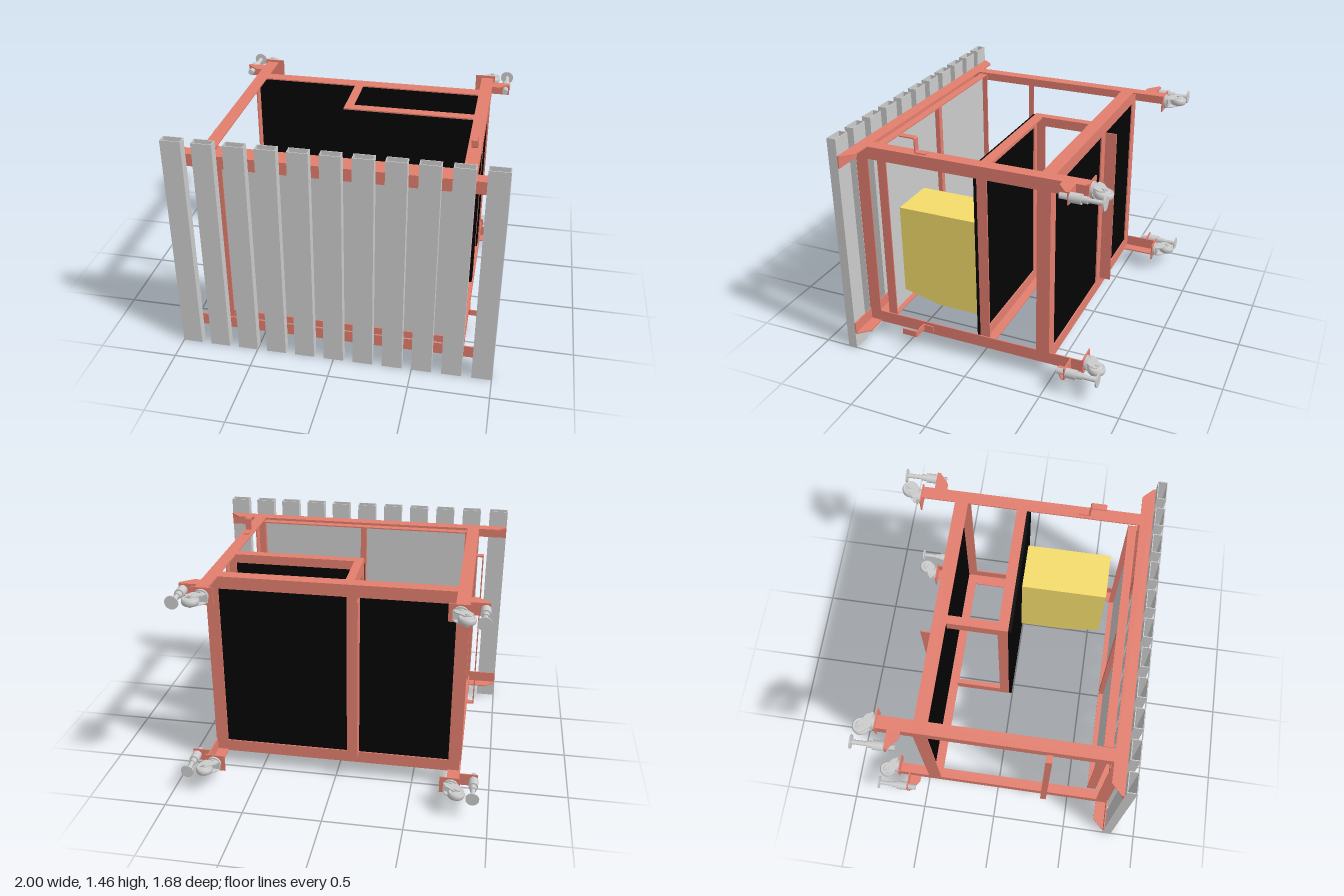
import * as THREE from 'three';

const mat = (color) => new THREE.MeshStandardMaterial({ color });
const red = mat(0xe27e6e), black = mat(0x030303), yellow = mat(0xf4dc6b), grey = mat(0xcccccc);
const T = 0.008; // thickness of the angle iron
const CLEAR = [0.19, 1.275], INSIDE = [0.119, 1.346];

function add(parent, name, geometry, material, x = 0, y = 0, z = 0) {
  const m = new THREE.Mesh(geometry, material);
  m.name = name;
  m.position.set(x, y, z);
  parent.add(m);
  return m;
}

// Box given by its limits on each axis
function bar(parent, name, [x0, x1], [y0, y1], [z0, z1], material = red) {
  return add(parent, name, new THREE.BoxGeometry(Math.abs(x1 - x0), Math.abs(y1 - y0), Math.abs(z1 - z0)), material,
    (x0 + x1) / 2, (y0 + y1) / 2, (z0 + z1) / 2);
}

// Angle iron along one axis; a and b run from the corner to each flange's edge on the other two axes
function angle(parent, name, axis, span, a, b) {
  const thin = ([c, e]) => [c, c + Math.sign(e - c) * T];
  for (const [p, q] of [[a, thin(b)], [thin(a), b]]) {
    const limits = [p, q];
    limits.splice(axis, 0, span);
    bar(parent, name, ...limits);
  }
}
const X = 0, Y = 1, Z = 2;

// Outline in x and z, extruded upward from y0 to y1
function slab(parent, name, pts, y0, y1, material = red, hole) {
  const shape = new THREE.Shape(pts.map(([x, z]) => new THREE.Vector2(x, -z)));
  if (hole) shape.holes.push(new THREE.Path(hole.map(([x, z]) => new THREE.Vector2(x, -z))));
  const g = new THREE.ExtrudeGeometry(shape, { depth: y1 - y0, bevelEnabled: false });
  g.rotateX(-Math.PI / 2);
  return add(parent, name, g, material, 0, y0, 0);
}

// Cylinder lying along z between z0 and z1
function rodZ(parent, name, r, x, y, z0, z1, sides = 20) {
  const g = new THREE.CylinderGeometry(r, r, Math.abs(z1 - z0), sides);
  g.rotateX(Math.PI / 2);
  return add(parent, name, g, grey, x, y, (z0 + z1) / 2);
}

const rect = (x0, x1, z0, z1) => [[x0, z1], [x1, z1], [x1, z0], [x0, z0]];

// Swivel caster on a beam end, its wheel offset outward
function caster(parent, s, y) {
  const g = new THREE.Group();
  g.name = 'caster';
  parent.add(g);
  bar(g, 'casterPlate', [s * 0.69, s * 0.82], [y - 0.055, y + 0.055], [-0.708, -0.70], red);
  rodZ(g, 'swivelBase', 0.046, s * 0.76, y, -0.722, -0.708);
  rodZ(g, 'swivelNeck', 0.036, s * 0.76, y, -0.735, -0.722);
  const side = [[0.715, -0.728], [0.805, -0.728], [0.835, -0.77], [0.825, -0.80], [0.79, -0.81], [0.73, -0.765]];
  for (const k of [-1, 1]) {
    slab(g, 'forkSide', side.map(([x, z]) => [s * x, z]), y + k * 0.028 - 0.003, y + k * 0.028 + 0.003, grey);
  }
  bar(g, 'forkBridge', [s * 0.715, s * 0.805], [y - 0.03, y + 0.03], [-0.738, -0.728], grey);
  const tread = [[0.012, -0.022], [0.03, -0.022], [0.034, -0.013], [0.042, -0.022], [0.049, -0.017], [0.053, -0.006],
    [0.053, 0.006], [0.049, 0.017], [0.042, 0.022], [0.034, 0.013], [0.03, 0.022], [0.012, 0.022]];
  const wheel = new THREE.LatheGeometry(tread.map(([r, h]) => new THREE.Vector2(r, h)), 28);
  add(g, 'wheel', wheel, grey, s * 0.8, y, -0.79);
  add(g, 'axle', new THREE.CylinderGeometry(0.013, 0.013, 0.076, 16), grey, s * 0.8, y, -0.79);
}

// Levelling foot on an angle bracket whose flat flange lies at yo
function foot(parent, s, y, yo, dir) {
  const g = new THREE.Group();
  g.name = 'levellingFoot';
  parent.add(g);
  bar(g, 'footBracket', [s * 0.81, s * 0.925], [y - 0.04, y + 0.04], [-0.63, -0.622]);
  const flange = [[0.81, -0.55], [0.85, -0.55], [0.925, -0.61], [0.925, -0.622], [0.81, -0.622]].map(([x, z]) => [s * x, z]);
  slab(g, 'footFlange', flange, Math.min(yo, yo + dir * T), Math.max(yo, yo + dir * T));
  rodZ(g, 'footNut', 0.02, s * 0.9, y, -0.622, -0.57, 6);
  rodZ(g, 'footSleeve', 0.03, s * 0.9, y, -0.70, -0.63);
  rodZ(g, 'footCollar', 0.021, s * 0.9, y, -0.735, -0.70);
  rodZ(g, 'footRod', 0.014, s * 0.9, y, -0.825, -0.735);
  rodZ(g, 'footDisc', 0.042, s * 0.9, y, -0.835, -0.826, 24);
}

// Bent strip hook standing out from a beam by 0.09
function hook(parent) {
  const t = 0.007;
  const s = new THREE.Shape();
  s.moveTo(0.31, 0);
  s.lineTo(0.375, 0);
  s.quadraticCurveTo(0.385, 0, 0.385, 0.012);
  s.lineTo(0.385, 0.078);
  s.quadraticCurveTo(0.385, 0.09, 0.397, 0.09);
  s.lineTo(0.48, 0.09);
  s.lineTo(0.48, 0.09 + t);
  s.lineTo(0.392, 0.09 + t);
  s.quadraticCurveTo(0.378, 0.09 + t, 0.378, 0.083);
  s.lineTo(0.378, 0.017);
  s.quadraticCurveTo(0.378, t, 0.37, t);
  s.lineTo(0.31, t);
  const g = new THREE.ExtrudeGeometry(s, { depth: 0.04, bevelEnabled: false });
  g.translate(0, 0, -0.02);
  g.rotateY(-Math.PI / 2);
  return add(parent, 'hook', g, red);
}

export function createModel() {
  const root = new THREE.Group();
  root.name = 'slattedFrame';

  // Hollow front slats
  for (let i = 0; i < 11; i++) {
    const x = -0.9375 + i * 0.1875, w = 0.0625, t = 0.005;
    slab(root, 'slat', rect(x - w, x + w, 0.78, 0.84), 0, 1.46, grey, rect(x - w + t, x + w - t, 0.78 + t, 0.84 - t));
  }

  // Main frame: angle iron rings at bottom and top, flat flange outermost (yo), upright flange toward dir
  for (const [yo, dir] of [[0.11, 1], [1.355, -1]]) {
    const yr = [yo, yo + dir * 0.08], yc = yo + dir * 0.04;
    slab(root, 'frontBeamFlange', [[-1, 0.78], [1, 0.78], [1, 0.765], [0.935, 0.70], [-0.935, 0.70], [-1, 0.765]],
      Math.min(yo, yo + dir * T), Math.max(yo, yo + dir * T));
    bar(root, 'frontBeam', [-1, 1], yr, [0.78 - T, 0.78]);
    angle(root, 'backBeam', X, [-0.805, 0.805], yr, [-0.485, -0.40]);
    angle(root, 'partitionSideRail', Z, [-0.40, -0.02], [-0.105, -0.05], yr);
    angle(root, 'partitionRail', X, [-0.105, 0.80], yr, [-0.02, -0.085]);
    for (const s of [-1, 1]) {
      angle(root, 'sideBeam', Z, [-0.70, 0.775], [s * 0.81, s * 0.73], yr);
      caster(root, s, yc);
      foot(root, s, yc, yo, dir);
    }
  }
  for (const s of [-1, 1]) {
    angle(root, 'frontPost', Y, CLEAR, [s * 0.81, s * 0.73], [0.78, 0.70]);
    angle(root, 'backPost', Y, CLEAR, [s * 0.81, s * 0.73], [-0.485, -0.40]);
  }
  angle(root, 'backMiddlePost', Y, CLEAR, [-0.15, -0.07], [-0.477, -0.56]);
  angle(root, 'partitionPost', Y, INSIDE, [-0.105, -0.05], [-0.02, -0.085]);
  angle(root, 'partitionPost', Y, INSIDE, [0.801, 0.745], [-0.02, -0.085]);

  // Dark panels behind the flanges
  bar(root, 'backPanel', [-0.80, 0.80], INSIDE, [-0.476, -0.462], black);
  bar(root, 'partitionPanel', [-0.105, 0.80], INSIDE, [-0.02, 0], black);

  // Inner front door: angle frame with the panel set inside it, and a middle stile
  for (const s of [-1, 1]) angle(root, 'doorStile', Y, INSIDE, [s * 0.725, s * 0.695], [0.69, 0.63]);
  for (const [y, d] of [[0.12, 0.05], [1.345, -0.05]]) {
    angle(root, 'doorRail', X, [-0.717, 0.717], [y, y + d], [0.684, 0.632]);
  }
  bar(root, 'doorPanel', [-0.717, 0.717], [0.128, 1.337], [0.666, 0.676], grey);
  bar(root, 'doorMiddleStile', [-0.02, 0.02], [0.128, 1.337], [0.635, 0.666]);

  // Cabinet with a sloping underside
  const profile = [[0, 0.27], [0.31, 0.27], [0.565, 0.33], [0.565, 0.925], [0, 0.925]];
  const cabinet = new THREE.ExtrudeGeometry(new THREE.Shape(profile.map(([z, y]) => new THREE.Vector2(z, y))),
    { depth: 0.31, bevelEnabled: false });
  cabinet.rotateY(-Math.PI / 2);
  add(root, 'cabinet', cabinet, yellow, 0.705, 0, 0);

  // Flat pull bar on the side, with end tabs
  bar(root, 'pullBar', [-0.858, -0.85], [0.17, 1.295], [0.31, 0.35]);
  for (const y of [0.17, 1.287]) bar(root, 'pullBarTab', [-0.85, -0.81], [y, y + 0.008], [0.31, 0.35]);

  // Hooks: one upright on the top beam, one pointing sideways on the lower beam
  hook(root).position.set(0.77, 1.355, 0);
  const low = hook(root);
  low.position.set(0.81, 0.15, 0);
  low.rotation.z = -Math.PI / 2;

  return root;
}
